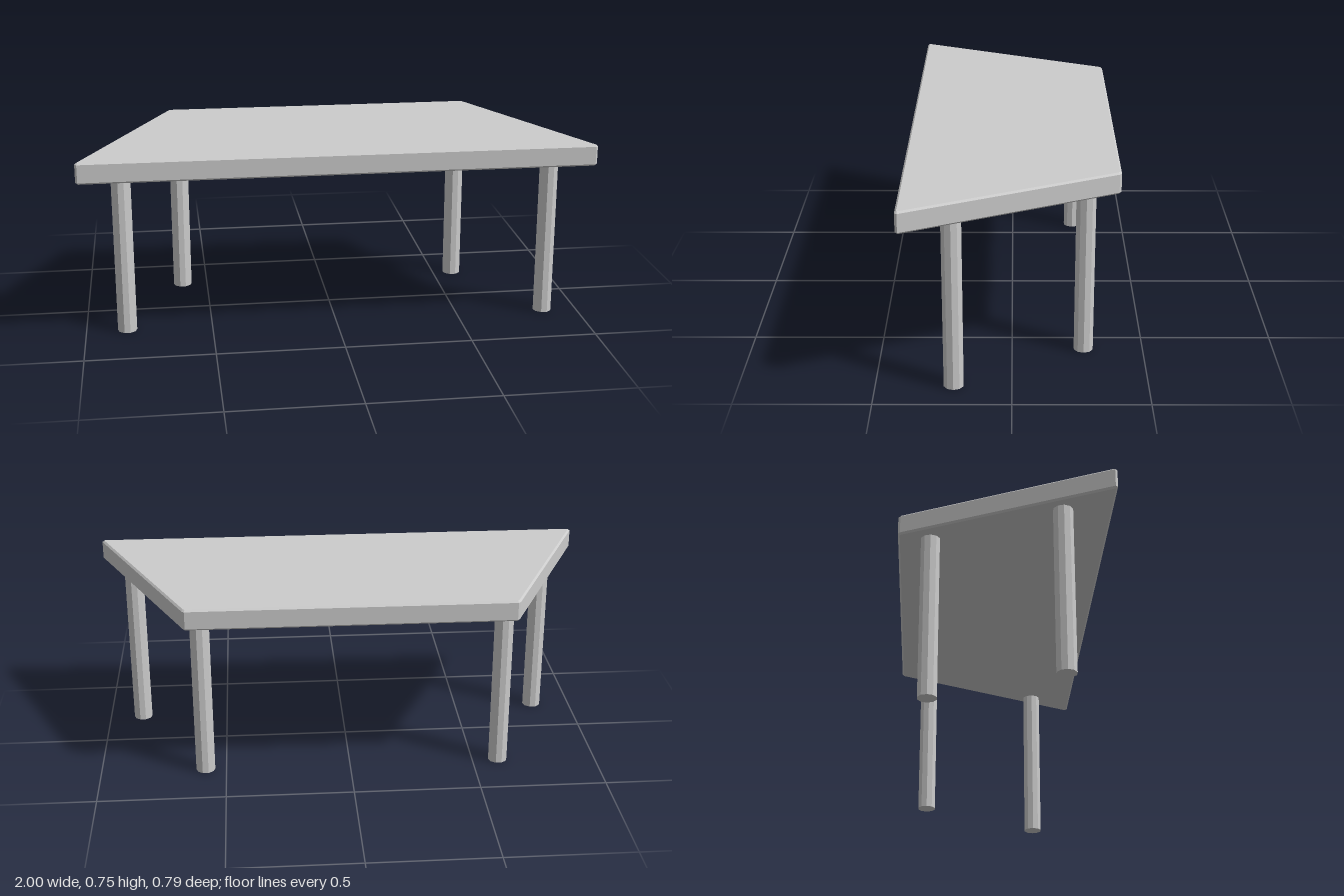
import * as THREE from 'three';

const TOP_Y = 0.747, UNDER_Y = 0.663, BEVEL = 0.007;

// Trapezoid slab with clipped corners and chamfered edges, wide side at +z
function tabletop(material) {
  const half = [[0.992, 0.397], [1, 0.388], [0.641, -0.389], [0.632, -0.397]];
  const outline = [...half, ...half.map(([x, z]) => [-x, z]).reverse()];
  const shape = new THREE.Shape(outline.map(([x, z]) => new THREE.Vector2(x, -z)));
  const geometry = new THREE.ExtrudeGeometry(shape, {
    depth: TOP_Y - UNDER_Y - 2 * BEVEL,
    bevelThickness: BEVEL, bevelSize: BEVEL, bevelOffset: -BEVEL, bevelSegments: 1,
  });
  geometry.rotateX(-Math.PI / 2).translate(0, UNDER_Y + BEVEL, 0);
  const mesh = new THREE.Mesh(geometry, material);
  mesh.name = 'tabletop';
  return mesh;
}

export function createModel() {
  const group = new THREE.Group();
  group.name = 'table';
  const material = new THREE.MeshStandardMaterial({ color: 0xcccccc, flatShading: true });
  group.add(tabletop(material));

  // Ten-sided legs, vertices pointing along x
  const legGeometry = new THREE.CylinderGeometry(0.038, 0.038, UNDER_Y + 0.002, 10);
  legGeometry.rotateY(Math.PI / 2);
  const legs = [
    ['frontRightLeg', -0.838, 0.213], ['frontLeftLeg', 0.861, 0.213],
    ['backRightLeg', -0.604, -0.273], ['backLeftLeg', 0.583, -0.273],
  ];
  for (const [name, x, z] of legs) {
    const leg = new THREE.Mesh(legGeometry, material);
    leg.name = name;
    leg.position.set(x, (UNDER_Y + 0.002) / 2, z);
    group.add(leg);
  }
  return group;
}
